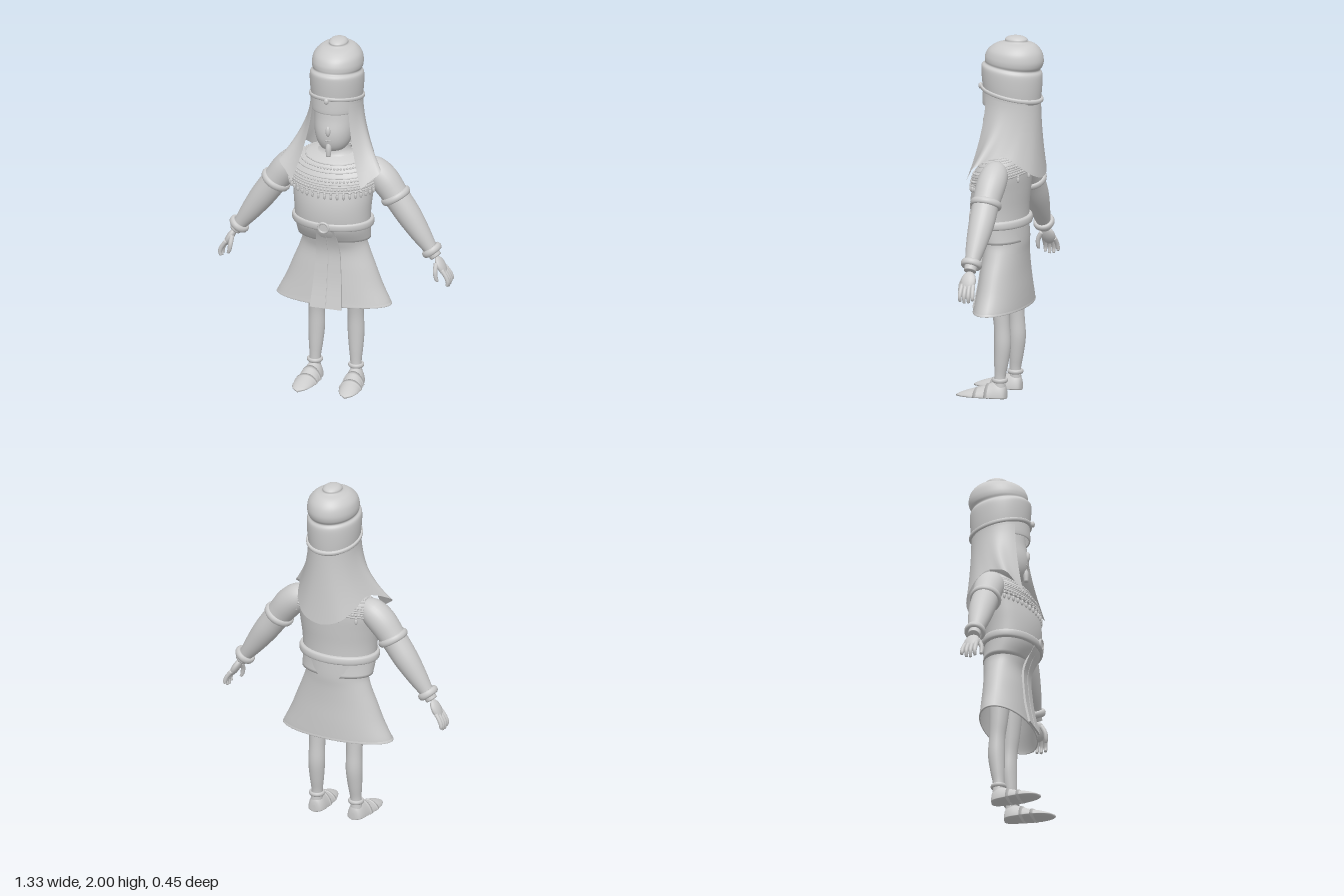
import * as THREE from 'three';
import { mergeGeometries, toCreasedNormals } from 'three/addons/utils/BufferGeometryUtils.js';

const V = (x, y, z) => new THREE.Vector3(x, y, z);
const clay = new THREE.MeshStandardMaterial({ color: 0xcccccc, side: THREE.DoubleSide });
clay.name = 'paleGrey';

// Skin a list of point rings; closed joins the last column to the first
function skin(rings, closed = true, caps = false) {
  const n = rings[0].length, pos = [], idx = [];
  rings.forEach(r => r.forEach(p => pos.push(p.x, p.y, p.z)));
  const cols = closed ? n : n - 1;
  for (let i = 0; i < rings.length - 1; i++) for (let j = 0; j < cols; j++) {
    const a = i * n + j, b = i * n + (j + 1) % n;
    idx.push(a, b, b + n, a, b + n, a + n);
  }
  if (caps) [0, rings.length - 1].forEach((r, k) => {
    const c = rings[r].reduce((s, p) => s.add(p), V(0, 0, 0)).divideScalar(n);
    const ci = pos.length / 3;
    pos.push(c.x, c.y, c.z);
    for (let j = 0; j < n; j++) {
      const a = r * n + j, b = r * n + (j + 1) % n;
      k ? idx.push(ci, a, b) : idx.push(ci, b, a);
    }
  });
  const g = new THREE.BufferGeometry();
  g.setAttribute('position', new THREE.Float32BufferAttribute(pos, 3));
  g.setIndex(idx);
  g.computeVertexNormals();
  return g;
}

// Smoothly resample rows of numbers
function resample(rows, sub) {
  const out = [], at = i => rows[THREE.MathUtils.clamp(i, 0, rows.length - 1)];
  for (let i = 0; i < rows.length - 1; i++) for (let s = 0; s < sub; s++) {
    const t = s / sub;
    out.push(at(i).map((p, k) => {
      const q = at(i + 1)[k], m0 = (q - at(i - 1)[k]) / 2, m1 = (at(i + 2)[k] - p) / 2;
      return p + m0 * t + (3 * (q - p) - 2 * m0 - m1) * t * t + (2 * (p - q) + m0 + m1) * t * t * t;
    }));
  }
  out.push(rows.at(-1));
  return out;
}

// Point on an elliptical section [y, centre z, half width, half depth, tilt]
const onSection = ([y, cz, rx, rz, tilt = 0], a) =>
  V(rx * Math.sin(a), y + tilt * rz * Math.cos(a), cz + rz * Math.cos(a));

function loft(sections, caps = true, sub = 4, n = 48) {
  return skin(resample(sections, sub).map(s =>
    Array.from({ length: n }, (_, j) => onSection(s, j / n * Math.PI * 2))), true, caps);
}

// Round limb along a path of [x, y, z, radius]
function limb(rows, n = 20) {
  const pts = resample(rows, 4);
  const curve = new THREE.CatmullRomCurve3(pts.map(p => V(p[0], p[1], p[2])));
  const rings = pts.map((p, i) => {
    const t = curve.getTangent(i / (pts.length - 1));
    const u = V(0, 0, 1).addScaledVector(t, -t.z).normalize(), w = t.clone().cross(u);
    return Array.from({ length: n }, (_, j) => {
      const a = j / n * Math.PI * 2;
      return V(p[0], p[1], p[2]).addScaledVector(u, p[3] * Math.cos(a)).addScaledVector(w, p[3] * Math.sin(a));
    });
  });
  return skin(rings, true, true);
}

function bangle(pos, dir, radius, thick, wide = 1.5) {
  const g = new THREE.TorusGeometry(radius, thick, 10, 32).scale(1, 1, wide);
  g.applyQuaternion(new THREE.Quaternion().setFromUnitVectors(V(0, 0, 1), dir.normalize()));
  return g.translate(pos.x, pos.y, pos.z);
}

const ball = (x, y, z, rx, ry = rx, rz = rx) => new THREE.SphereGeometry(1, 14, 10).scale(rx, ry, rz).translate(x, y, z);

export function createModel() {
  const model = new THREE.Group();
  const add = (name, geo, parent = model) => {
    const m = new THREE.Mesh(geo, clay);
    m.name = name;
    parent.add(m);
  };

  // Body, skirt and belt
  add('torso', loft([[0.87, -0.005, 0.205, 0.125], [0.95, 0.02, 0.21, 0.145], [1.05, 0.025, 0.215, 0.152],
    [1.15, 0.015, 0.225, 0.15], [1.25, -0.005, 0.23, 0.135], [1.32, -0.03, 0.17, 0.1],
    [1.36, -0.035, 0.08, 0.07], [1.44, -0.03, 0.065, 0.065]]));
  const skirt = loft([[0.97, 0.01, 0.19, 0.14], [0.87, -0.005, 0.178, 0.127], [0.8, -0.012, 0.195, 0.115],
    [0.7, -0.008, 0.235, 0.118], [0.6, -0.005, 0.275, 0.125], [0.52, -0.002, 0.315, 0.13],
    [0.495, 0, 0.325, 0.132]].reverse(), false);
  add('skirt', skirt);
  add('skirtHem', loft([[0.492, 0, 0.318, 0.128], [0.494, 0, 0.328, 0.134], [0.506, 0, 0.322, 0.133]], false));
  add('belt', loft([[0.952, 0.018, 0.21, 0.145], [0.956, 0.018, 0.226, 0.16], [0.975, 0.019, 0.23, 0.164],
    [0.994, 0.02, 0.226, 0.16], [0.998, 0.02, 0.21, 0.145]], false, 3));
  add('buckle', new THREE.CylinderGeometry(0.028, 0.028, 0.02, 28).rotateX(Math.PI / 2).translate(0, 0.977, 0.178));
  add('buckleRim', new THREE.TorusGeometry(0.028, 0.007, 8, 28).translate(0, 0.977, 0.187));

  // Hanging front panel: rows of y, z, half width
  const panel = resample([[0.485, 0.152, 0.09], [0.6, 0.127, 0.082], [0.7, 0.114, 0.075], [0.8, 0.109, 0.068],
    [0.88, 0.13, 0.06], [0.96, 0.168, 0.052]], 4);
  add('apron', toCreasedNormals(skin(panel.map(([y, z, w]) =>
    [V(-w, y, z), V(w, y, z), V(w, y, z - 0.012), V(-w, y, z - 0.012)]), true, true), 0.7));
  add('apronSeam', skin(panel.map(([y, z]) =>
    [V(-0.003, y, z), V(0, y, z + 0.004), V(0.003, y, z)]), false));

  // Broad collar, lower at the front
  const collar = [[1.215, 0.005, 0.236, 0.15, -0.25], [1.218, 0.005, 0.252, 0.163, -0.25],
    [1.26, 0.003, 0.25, 0.156, -0.25], [1.305, -0.005, 0.222, 0.138, -0.25],
    [1.338, -0.015, 0.17, 0.115, -0.2], [1.36, -0.03, 0.1, 0.085, -0.15]];
  add('collar', loft(collar, false));
  const sectionAt = y => {
    const i = Math.max(1, collar.findIndex(s => s[0] >= y)), p = collar[i - 1], q = collar[i];
    return p.map((v, k) => THREE.MathUtils.lerp(v, q[k], (y - p[0]) / (q[0] - p[0])));
  };
  const beads = [];
  [1.325, 1.275, 1.235].forEach((y, r) => {
    const s = sectionAt(y), n = 64 + r * 8;
    for (let i = 0; i < n; i++) {
      const p = onSection(s, i / n * Math.PI * 2);
      beads.push(new THREE.SphereGeometry(0.0075, 8, 6).translate(p.x, p.y, p.z));
    }
    [-0.014, 0.014].forEach(d => {
      const trim = sectionAt(y + d), path = Array.from({ length: 40 }, (_, i) => onSection(trim, i / 40 * Math.PI * 2));
      beads.push(new THREE.TubeGeometry(new THREE.CatmullRomCurve3(path, true), 80, 0.004, 6, true));
    });
  });
  add('collarBeads', mergeGeometries(beads));
  const drops = [];
  for (let i = 0; i < 44; i++) {
    const p = onSection(collar[1], i / 44 * Math.PI * 2);
    if (p.z < -0.02 && i % 3) continue;
    drops.push(ball(p.x, p.y - 0.022, p.z, 0.008, 0.017, 0.008), ball(p.x, p.y - 0.004, p.z, 0.007));
  }
  add('collarFringe', mergeGeometries(drops));

  // Head and narrow chin beard
  add('head', loft([[1.375, 0.005, 0.035, 0.035], [1.395, 0.01, 0.068, 0.072], [1.44, 0.005, 0.095, 0.1],
    [1.5, -0.005, 0.109, 0.115], [1.57, -0.015, 0.112, 0.112], [1.63, -0.025, 0.112, 0.115], [1.7, -0.03, 0.11, 0.11]]));
  add('nose', ball(0, 1.515, 0.108, 0.014, 0.03, 0.014));
  add('lips', ball(0, 1.46, 0.1, 0.03, 0.01, 0.01));
  add('beard', limb([[0, 1.445, 0.09, 0.013], [0, 1.41, 0.098, 0.016], [0, 1.365, 0.1, 0.012]]));

  // Tall crown with bulb and knob
  add('crown', loft([[1.66, -0.045, 0.136, 0.158, 0.19], [1.72, -0.045, 0.143, 0.165, 0.17],
    [1.78, -0.045, 0.146, 0.169, 0.14], [1.815, -0.045, 0.143, 0.167, 0.13], [1.832, -0.048, 0.13, 0.153, 0.12],
    [1.85, -0.055, 0.137, 0.16, 0.1], [1.88, -0.06, 0.138, 0.162, 0.07], [1.92, -0.063, 0.127, 0.147, 0.03],
    [1.953, -0.066, 0.095, 0.11, 0], [1.967, -0.07, 0.055, 0.066, 0], [1.982, -0.07, 0.05, 0.063, 0],
    [1.995, -0.07, 0.035, 0.042, 0], [2, -0.07, 0.01, 0.012, 0]]));
  add('crownBand', loft([[1.668, -0.045, 0.138, 0.16, 0.19], [1.671, -0.045, 0.148, 0.172, 0.19],
    [1.687, -0.045, 0.149, 0.173, 0.19], [1.69, -0.045, 0.138, 0.16, 0.19]], false, 3));
  add('crownGem', ball(0, 1.705, 0.137, 0.014, 0.018, 0.012));

  // Head cloth: brow strip, then a drape falling to an arched hem
  add('browCloth', loft([[1.612, -0.04, 0.13, 0.15, 0.06], [1.615, -0.04, 0.138, 0.158, 0.06],
    [1.69, -0.045, 0.139, 0.16, 0.15]], false));
  const half = [[0.2, 1.215, 0.145], [0.24, 1.255, 0.115], [0.29, 1.305, 0.075], [0.235, 1.35, 0.0],
    [0.2, 1.365, -0.07], [0.175, 1.32, -0.14], [0.11, 1.255, -0.205]];
  const hem = resample([...half, [0, 1.225, -0.225], ...half.map(([x, y, z]) => [-x, y, z]).reverse()], 4);
  const drape = [];
  for (let r = 0; r <= 16; r++) {
    const t = r / 16;
    drape.push(hem.map(([x, y, z], j) => {
      const a = THREE.MathUtils.lerp(0.82, Math.PI * 2 - 0.82, j / (hem.length - 1));
      const top = onSection([1.655, -0.043, 0.141, 0.163, 0.15], a), k = t ** 1.7;
      return V(THREE.MathUtils.lerp(top.x, x, k), THREE.MathUtils.lerp(top.y, y, t), THREE.MathUtils.lerp(top.z, z, k));
    }));
  }
  add('headCloth', skin(drape.reverse(), false));

  // Limbs, built for the left side and mirrored
  for (const s of [1, -1]) {
    const side = new THREE.Group();
    side.name = s > 0 ? 'leftLimbs' : 'rightLimbs';
    side.scale.x = s;
    model.add(side);

    add('arm', limb([[0.17, 1.29, -0.03, 0.05], [0.22, 1.268, -0.03, 0.074], [0.28, 1.215, -0.028, 0.08],
      [0.345, 1.13, -0.025, 0.073], [0.42, 1.025, -0.025, 0.069], [0.49, 0.925, -0.022, 0.055],
      [0.55, 0.84, -0.02, 0.037], [0.575, 0.805, -0.02, 0.033]], 28), side);
    add('armlet', bangle(V(0.343, 1.13, -0.025), V(0.52, -0.85, 0), 0.074, 0.013), side);
    add('bracelet', bangle(V(0.552, 0.84, -0.02), V(0.6, -0.8, 0), 0.046, 0.013), side);
    add('palm', ball(0, 0, 0, 0.021, 0.058, 0.043).rotateZ(0.5).translate(0.605, 0.755, -0.022), side);
    const fingers = [0, 1, 2, 3].map(i => {
      const z = 0.008 - i * 0.021, long = [0, 0.008, 0.004, -0.012][i];
      return limb([[0.618, 0.74, z, 0.012], [0.642, 0.705, z * 1.1, 0.012], [0.653, 0.675, z * 1.15, 0.011],
        [0.648, 0.652 - long, z * 1.15, 0.008]], 10);
    });
    fingers.push(limb([[0.585, 0.775, 0.005, 0.013], [0.587, 0.735, 0.026, 0.013], [0.592, 0.7, 0.03, 0.011],
      [0.6, 0.68, 0.028, 0.008]], 10));
    add('fingers', mergeGeometries(fingers), side);

    add('leg', limb([[0.12, 0.05, -0.02, 0.034], [0.117, 0.12, -0.02, 0.031], [0.115, 0.2, -0.027, 0.039],
      [0.113, 0.3, -0.034, 0.046], [0.112, 0.4, -0.03, 0.044], [0.11, 0.5, -0.022, 0.05],
      [0.105, 0.65, -0.015, 0.06], [0.1, 0.85, -0.01, 0.07]], 24), side);
    add('anklet', bangle(V(0.118, 0.103, -0.02), V(0, 1, 0), 0.036, 0.008), side);

    // Shoe sections along z: z, centre x, half width, height
    const shoe = resample([[-0.058, 0.118, 0.012, 0.04], [-0.05, 0.118, 0.036, 0.075], [-0.02, 0.119, 0.05, 0.1],
      [0.03, 0.122, 0.056, 0.084], [0.09, 0.127, 0.061, 0.06], [0.15, 0.132, 0.056, 0.043],
      [0.2, 0.135, 0.037, 0.024], [0.225, 0.136, 0.008, 0.01]], 4);
    const shoeRing = ([z, x, w, h], grow) => Array.from({ length: 28 }, (_, j) => {
      const a = j / 28 * Math.PI * 2, c = Math.cos(a);
      return V(x - (w + grow) * Math.sin(a) * (c < 0 ? 1 : 1 - 0.15 * c), c > 0 ? 0.012 + (h - 0.012 + grow) * c : 0.012 + 0.012 * c, z);
    });
    add('shoe', skin(shoe.map(r => shoeRing(r, 0)), true, true), side);
    [0.04, 0.1].forEach(z => {
      const row = shoe.reduce((p, q) => Math.abs(q[0] - z) < Math.abs(p[0] - z) ? q : p);
      add('shoeStrap', skin([-0.008, 0.008].map(d =>
        shoeRing([row[0] + d, row[1], row[2], row[3] - d * 0.4], 0.004)), true, true), side);
    });
  }
  return model;
}
